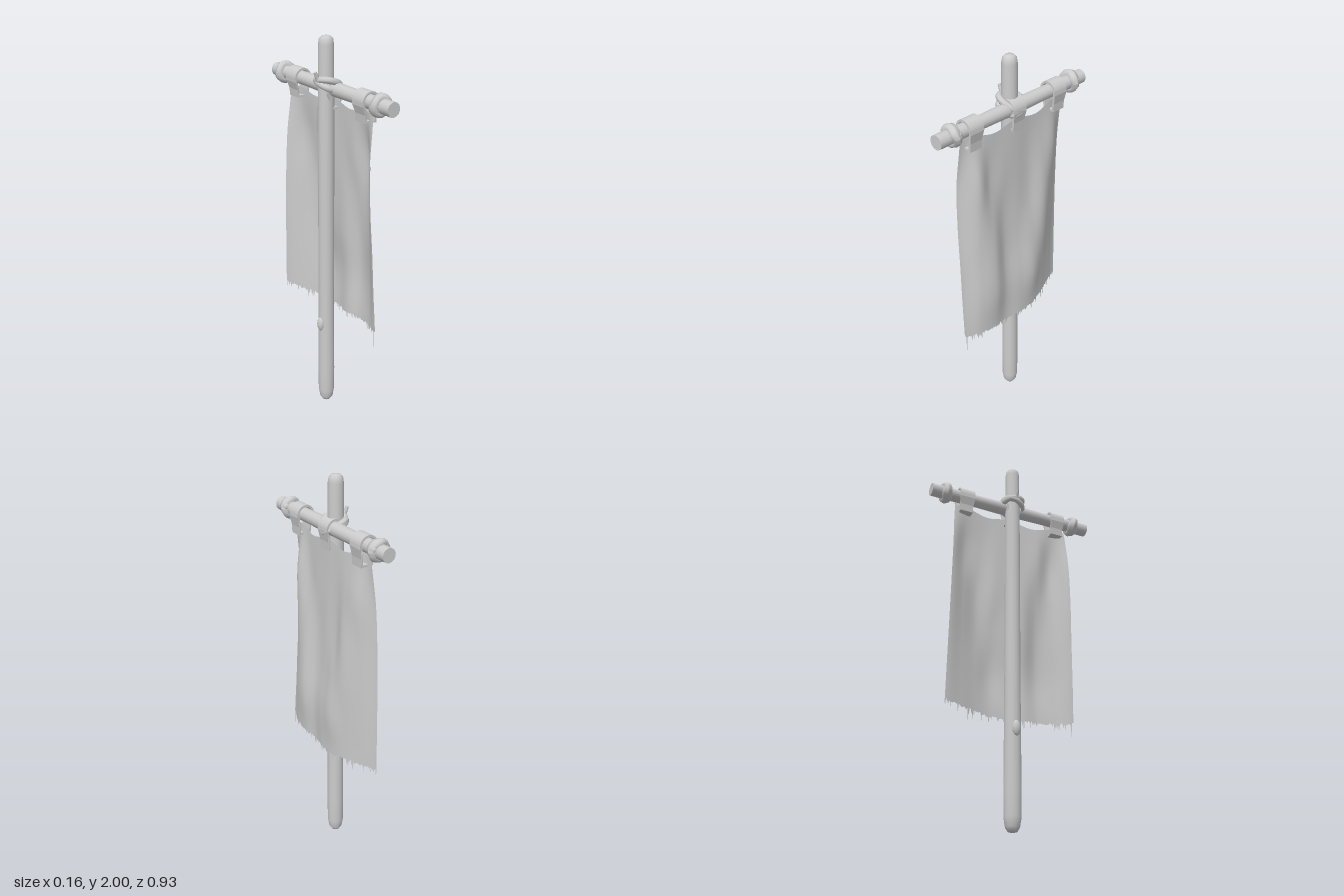
import * as THREE from 'three';

export function createModel() {
  const group = new THREE.Group();
  group.name = 'hangingBanner';
  const grey = new THREE.MeshStandardMaterial({ color: 0xcccccc, side: THREE.DoubleSide });
  grey.name = 'plainGrey';

  let seed = 7;
  const rand = () => (seed = (seed * 16807) % 2147483647) / 2147483647;
  const add = (name, geometry, x = 0, y = 0, z = 0) => {
    const mesh = new THREE.Mesh(geometry, grey);
    mesh.name = name;
    mesh.position.set(x, y, z);
    group.add(mesh);
    return mesh;
  };
  const lathe = (pts, sides) =>
    new THREE.LatheGeometry(pts.map(([r, y]) => new THREE.Vector2(r, y)), sides);

  // Upright pole with worn, rounded ends
  add('pole', lathe([[0, 0], [0.022, 0.005], [0.035, 0.025], [0.042, 0.07], [0.043, 0.2],
    [0.041, 0.6], [0.04, 1.1], [0.04, 1.6], [0.038, 1.8], [0.037, 1.96], [0.033, 1.985],
    [0.022, 1.997], [0, 2]], 20), -0.016, 0, -0.002);
  const burl = add('poleBurl', new THREE.SphereGeometry(1, 10, 8), -0.054, 0.49, 0);
  burl.scale.set(0.017, 0.04, 0.022);

  // Crossbar, slightly thicker at its cut ends
  const bar = add('crossbar', lathe([[0, -0.463], [0.034, -0.463], [0.034, -0.463], [0.035, -0.4],
    [0.033, -0.2], [0.036, 0], [0.033, 0.2], [0.035, 0.4], [0.035, 0.463], [0.035, 0.463],
    [0, 0.463]], 14), 0.009, 1.753);
  bar.rotation.x = Math.PI / 2;

  // Rope rings near the bar ends, each with a small knot
  for (const [z, tilt] of [[0.373, 0.12], [-0.383, -0.08]]) {
    const geo = new THREE.TorusGeometry(0.037, 0.02, 8, 18);
    const p = geo.attributes.position;
    for (let i = 0; i < p.count; i++) {
      const a = Math.atan2(p.getY(i), p.getX(i));
      p.setZ(i, p.getZ(i) * (1.25 + 0.2 * Math.sin(2 * a)) + 0.003 * Math.sin(a * 3));
    }
    geo.computeVertexNormals();
    add('ropeRing', geo, 0.007, 1.753, z).rotation.x = tilt;
    add('ropeKnot', new THREE.SphereGeometry(0.02, 8, 6), 0.04, 1.765, z - 0.008);
  }

  // Hanging loops folded over the bar and pinching the cloth
  const loop = new THREE.Shape();
  loop.moveTo(0.036, -0.102);
  loop.lineTo(0.038, -0.06);
  loop.lineTo(0.048, -0.012);
  loop.absarc(0, 0, 0.047, 0, Math.PI, false);
  loop.lineTo(-0.046, -0.02);
  loop.lineTo(-0.032, -0.06);
  loop.lineTo(-0.028, -0.098);
  loop.closePath();
  const gap = new THREE.Path();
  gap.moveTo(0.025, -0.09);
  gap.lineTo(0.028, -0.058);
  gap.absarc(0, 0, 0.036, 0, Math.PI, false);
  gap.lineTo(-0.022, -0.058);
  gap.lineTo(-0.018, -0.088);
  gap.closePath();
  loop.holes.push(gap);
  for (const [z, w] of [[0.267, 0.08], [0, 0.078], [-0.27, 0.082]]) {
    const geo = new THREE.ExtrudeGeometry(loop, { depth: w, bevelEnabled: false, curveSegments: 10 });
    geo.translate(0, 0, -w / 2);
    // narrower lower flap
    const p = geo.attributes.position;
    for (let i = 0; i < p.count; i++) if (p.getY(i) < -0.05) p.setZ(i, p.getZ(i) * 0.86);
    geo.computeVertexNormals();
    add('hangingLoop', geo, 0.009, 1.754, z);
  }

  // Two coils lashing the bar to the pole, with a loose end behind
  for (const lean of [-1, 1]) {
    const path = new THREE.CatmullRomCurve3([
      [-0.057, 1.79, 0], [-0.04, 1.785, 0.042], [0, 1.77, 0.052], [0.036, 1.75, 0.032],
      [0.042, 1.74, 0], [0.036, 1.75, -0.034], [0, 1.77, -0.056], [-0.04, 1.785, -0.046],
    ].map(([x, y, z]) => new THREE.Vector3(x, y + lean * (0.008 + z * 0.25), z)), true);
    add('lashing', new THREE.TubeGeometry(path, 40, 0.016, 8, true));
  }
  const end = add('lashingEnd', new THREE.CylinderGeometry(0.008, 0.011, 0.05, 6), -0.07, 1.815, 0);
  end.rotation.z = 0.4;

  // Cloth depth in level rows from top to hem, each running from -z to +z
  const folds = [
    [0.005, 0.015, 0.022, 0.026, 0.03, 0.026, 0.022, 0.015, 0.005],
    [-0.018, 0.034, 0.04, 0.028, 0.031, 0.03, 0.026, 0.046, -0.016],
    [-0.027, 0.022, 0.055, 0.036, 0.035, 0.031, 0.05, 0.046, -0.013],
    [-0.03, 0.014, 0.056, 0.06, 0.046, 0.04, 0.068, 0.048, 0],
    [-0.03, 0.006, 0.045, 0.077, 0.068, 0.056, 0.076, 0.056, 0.01],
    [-0.03, 0, 0.035, 0.06, 0.064, 0.05, 0.06, 0.05, 0.022],
  ];
  const smooth = (values, s) =>
    new THREE.SplineCurve(values.map((v) => new THREE.Vector2(v, 0))).getPoint(s).x;
  const NU = 96, NV = 44, pos = [], index = [], hem = [];
  for (let i = 0; i <= NU; i++) {
    hem.push(0.568 + 0.018 * (rand() - 0.5) + 0.018 * Math.abs((i / NU) * 2 - 1) ** 2);
  }
  const clothPoint = (i, t) => {
    const s = i / NU;
    const z = (s * 2 - 1) * (0.325 + 0.035 * t ** 0.6);
    const top = 1.69 + 0.012 * Math.cos((z / 0.265) * 2 * Math.PI);
    // only the lowest row follows the ragged hem
    const low = t > 0.98 ? hem[i] : 0.575;
    return [smooth(folds.map((row) => smooth(row, s)), t), top + (low - top) * t, z];
  };
  for (let j = 0; j <= NV; j++) for (let i = 0; i <= NU; i++) pos.push(...clothPoint(i, j / NV));
  for (let j = 0; j < NV; j++) for (let i = 0; i < NU; i++) {
    const a = j * (NU + 1) + i, b = a + NU + 1;
    index.push(a, b, a + 1, a + 1, b, b + 1);
  }
  const cloth = new THREE.BufferGeometry();
  cloth.setAttribute('position', new THREE.Float32BufferAttribute(pos, 3));
  cloth.setIndex(index);
  cloth.computeVertexNormals();
  add('cloth', cloth);

  // Frayed threads along the hem, longest near the corners
  const fray = [];
  for (let n = 0; n < 34; n++) {
    const i = n === 0 ? NU - 2 : n === 1 ? 18 : Math.floor(rand() * (NU - 1));
    const len = n === 0 ? 0.085 : n === 1 ? 0.065 : 0.01 + 0.03 * rand() ** 2;
    const a = clothPoint(i, 1), b = clothPoint(i + 1, 1);
    const tip = [(a[0] + b[0]) / 2, Math.min(a[1], b[1]) - len, (a[2] + b[2]) / 2 + 0.004 * (rand() - 0.5)];
    fray.push(...a, ...tip, ...b);
  }
  const threads = new THREE.BufferGeometry();
  threads.setAttribute('position', new THREE.Float32BufferAttribute(fray, 3));
  threads.computeVertexNormals();
  add('frayedThreads', threads);

  return group;
}
